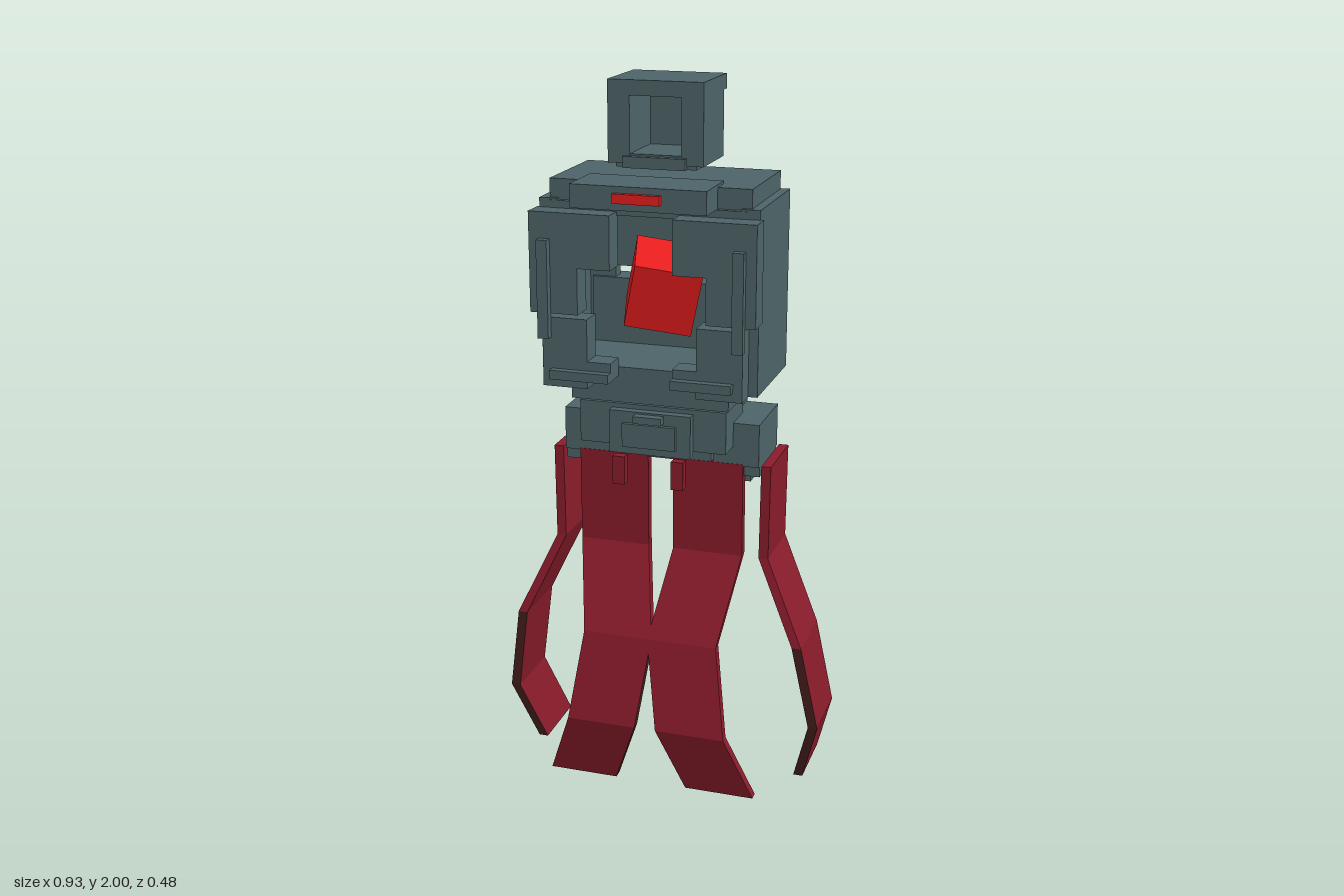
import * as THREE from 'three';

const material = (name, color) => {
  const m = new THREE.MeshStandardMaterial({ color });
  m.name = name;
  return m;
};

export function createModel() {
  const steel = material('slate armour', 0x4e6468);
  const crimson = material('crimson', 0x8a1c2b);
  const brown = material('dark brown', 0x4a221f);
  const red = material('bright red', 0xe81d1d);

  const model = new THREE.Group();
  model.name = 'hollowArmour';
  const group = (name) => {
    const g = new THREE.Group();
    g.name = name;
    model.add(g);
    return g;
  };

  // Box given by its min and max on each axis
  const box = (parent, name, mat, x0, x1, y0, y1, z0, z1) => {
    const mesh = new THREE.Mesh(new THREE.BoxGeometry(x1 - x0, y1 - y0, z1 - z0), mat);
    mesh.position.set((x0 + x1) / 2, (y0 + y1) / 2, (z0 + z1) / 2);
    mesh.name = name;
    parent.add(mesh);
  };
  // Box centred on x, given by its half width
  const mid = (parent, name, mat, hw, ...r) => box(parent, name, mat, -hw, hw, ...r);
  // Box on both sides
  const pair = (parent, name, mat, x0, x1, ...r) => {
    box(parent, name + 'Left', mat, x0, x1, ...r);
    box(parent, name + 'Right', mat, -x1, -x0, ...r);
  };

  // Hollow helmet
  const head = group('helmet');
  mid(head, 'helmetTop', steel, 0.13, 1.96, 2.0, -0.14, 0.075);
  pair(head, 'helmetCheek', steel, 0.07, 0.13, 1.785, 1.96, -0.115, 0.075);
  mid(head, 'helmetBack', steel, 0.11, 1.8, 1.97, -0.153, -0.1);
  mid(head, 'helmetFloor', steel, 0.11, 1.775, 1.81, -0.12, 0.07);
  mid(head, 'chinGuard', steel, 0.085, 1.775, 1.805, 0.05, 0.088);

  // Hollow chest shell
  const chest = group('chest');
  mid(chest, 'shoulderTop', steel, 0.275, 1.69, 1.745, -0.17, 0.125);
  mid(chest, 'frontBeam', steel, 0.27, 1.66, 1.69, 0.07, 0.14);
  pair(chest, 'sideWall', steel, 0.25, 0.3, 1.2, 1.695, -0.178, 0.138);
  pair(chest, 'backPost', steel, 0.175, 0.25, 1.2, 1.69, -0.15, -0.11);
  mid(chest, 'upperBackPlate', steel, 0.24, 1.47, 1.71, -0.222, -0.1);
  mid(chest, 'lowerBackPlate', steel, 0.24, 1.25, 1.435, -0.18, -0.1);
  mid(chest, 'chestFloor', steel, 0.25, 1.2, 1.25, -0.15, 0.135);
  mid(chest, 'chestBase', steel, 0.22, 1.15, 1.2, -0.175, 0.132);

  // Stepped plates around the chest opening
  pair(chest, 'breastPlate', steel, 0.175, 0.308, 1.4, 1.67, 0.132, 0.2);
  pair(chest, 'breastInner', steel, 0.085, 0.175, 1.525, 1.67, 0.132, 0.2);
  pair(chest, 'ribPlate', steel, 0.15, 0.275, 1.2, 1.39, 0.132, 0.2);
  pair(chest, 'ribInner', steel, 0.085, 0.15, 1.225, 1.275, 0.132, 0.2);
  pair(chest, 'ribStrip', steel, 0.25, 0.28, 1.335, 1.6, 0.2, 0.222);
  pair(chest, 'ribBar', steel, 0.085, 0.25, 1.225, 1.25, 0.2, 0.222);

  // Collar with its red insert
  mid(chest, 'collar', steel, 0.183, 1.69, 1.752, 0.065, 0.225);
  mid(chest, 'collarInsert', red, 0.063, 1.71, 1.735, 0.22, 0.24);

  // Tilted cube inside the chest
  const core = new THREE.Mesh(new THREE.BoxGeometry(0.182, 0.182, 0.182), red);
  core.position.set(0, 1.447, 0);
  core.rotation.set(0.26, 0.27, -0.25);
  core.name = 'coreCube';
  model.add(core);

  // Belt, buckle and hip blocks
  const belt = group('belt');
  mid(belt, 'beltFront', steel, 0.207, 1.02, 1.138, -0.07, 0.105);
  mid(belt, 'beltBack', steel, 0.19, 1.02, 1.115, -0.182, -0.07);
  mid(belt, 'pelvis', steel, 0.145, 0.965, 1.02, -0.11, 0.03);
  pair(belt, 'hipBlock', steel, 0.15, 0.28, 0.965, 1.087, -0.175, 0.03);
  pair(belt, 'hipFoot', steel, 0.16, 0.235, 0.89, 0.965, -0.172, -0.06);
  pair(belt, 'hipStep', steel, 0.235, 0.28, 0.935, 0.965, -0.165, 0.02);
  mid(belt, 'bucklePlate', steel, 0.115, 1.005, 1.125, 0.105, 0.13);
  mid(belt, 'buckle', steel, 0.075, 1.027, 1.093, 0.13, 0.142);
  mid(belt, 'buckleBar', steel, 0.04, 1.1, 1.12, 0.13, 0.155);
  pair(belt, 'beltTab', crimson, 0.066, 0.1, 0.92, 1.0, 0.122, 0.148);

  // Bent ribbons: rows of [height, sideways shift, outward shift]
  const rows = [
    [0, 0.069, 0.1], [0.2, -0.005, 0.155], [0.46, -0.042, 0.11], [0.7, 0, 0], [0.97, 0, 0.003],
  ];
  const ribbon = (name, place) => {
    const g = new THREE.BoxGeometry(0.2, 4, 0.027, 1, 4, 1);
    // Dark lower inner edge and tip
    g.clearGroups();
    g.addGroup(0, 36, 0);
    g.addGroup(36, 12, 1);
    g.addGroup(48, 6, 0);
    g.addGroup(54, 6, 1);
    g.addGroup(60, 48, 0);
    const p = g.attributes.position;
    for (let i = 0; i < p.count; i++) {
      const [y, side, out] = rows[Math.round(p.getY(i) + 2)];
      const [x, z] = place(p.getX(i) + side, p.getZ(i) + out);
      p.setXYZ(i, x, y, z);
    }
    const flat = g.toNonIndexed();
    flat.computeVertexNormals();
    const mesh = new THREE.Mesh(flat, [crimson, brown]);
    mesh.name = name;
    model.add(mesh);
    // Mirrored twin, with the corner order swapped back
    const twinGeometry = flat.clone().scale(-1, 1, 1);
    const q = twinGeometry.attributes.position;
    const a = new THREE.Vector3(), b = new THREE.Vector3();
    for (let i = 0; i < q.count; i += 3) {
      a.fromBufferAttribute(q, i + 1);
      b.fromBufferAttribute(q, i + 2);
      q.setXYZ(i + 1, b.x, b.y, b.z);
      q.setXYZ(i + 2, a.x, a.y, a.z);
    }
    twinGeometry.computeVertexNormals();
    const twin = new THREE.Mesh(twinGeometry, [crimson, brown]);
    twin.name = name + 'Mirrored';
    model.add(twin);
  };
  ribbon('frontRibbon', (side, out) => [0.136 + side, 0.015 + out]);
  ribbon('sideRibbon', (side, out) => [0.298 + out, -0.07 - side]);

  return model;
}
